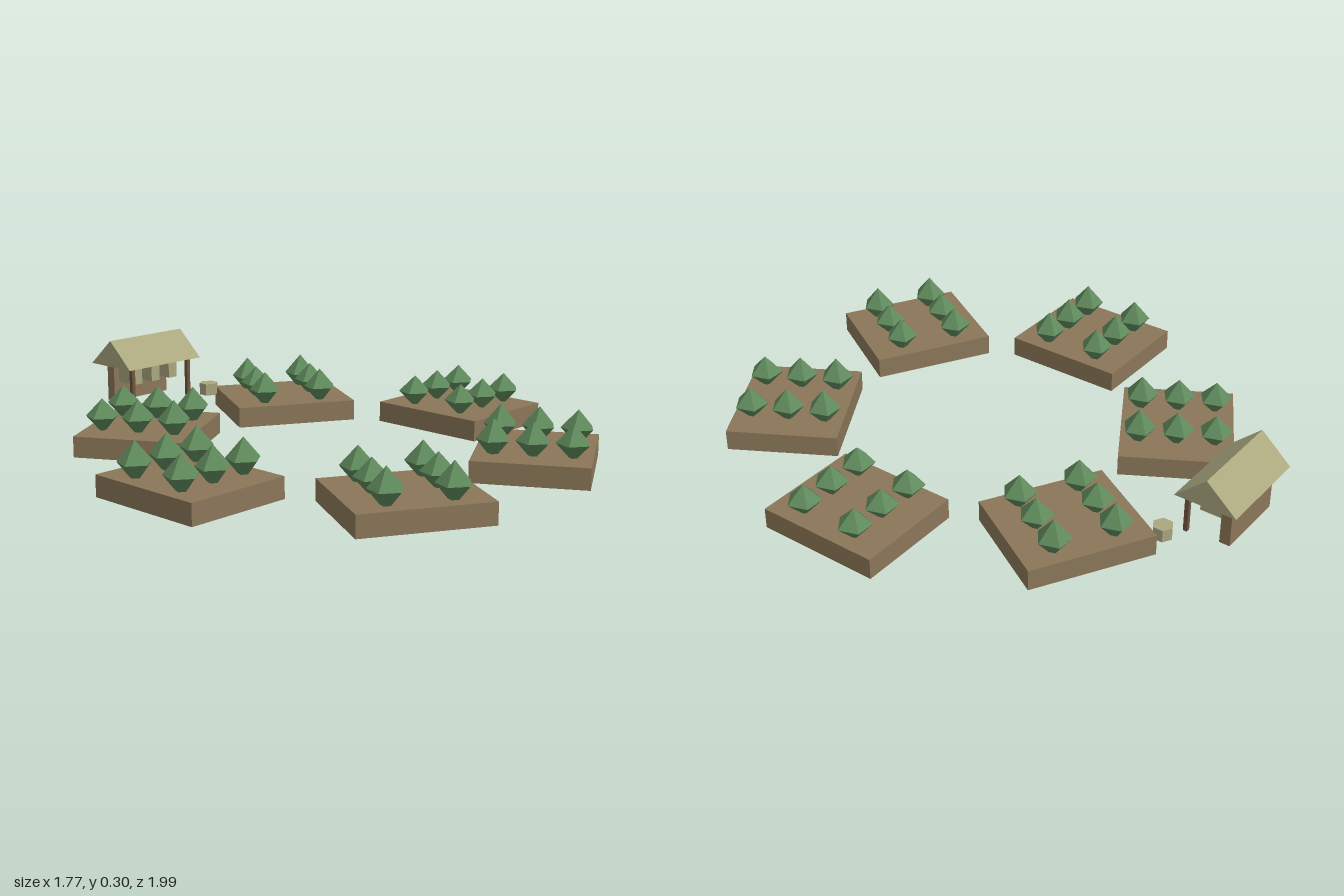
import * as THREE from 'three';

const mat = (name, color) => {
  const m = new THREE.MeshStandardMaterial({ color, flatShading: true });
  m.name = name;
  return m;
};

export function createModel() {
  const model = new THREE.Group();
  const soil = mat('soil brown', 0x8b7759);
  const wood = mat('dark wood', 0x6e5640);
  const leaf = mat('leaf green', 0x5f8a5c);
  const straw = mat('straw olive', 0xaaa77f);

  const add = (parent, name, geometry, material, x, y, z) => {
    const mesh = new THREE.Mesh(geometry, material);
    mesh.name = name;
    mesh.position.set(x, y, z);
    parent.add(mesh);
    return mesh;
  };

  // Ring of six planting beds, each with two rows of three bushes
  const bedGeo = new THREE.BoxGeometry(0.396, 0.075, 0.45);
  const bushGeo = new THREE.SphereGeometry(1, 5, 2);
  for (let b = 0; b < 6; b++) {
    const angle = (b * Math.PI) / 3;
    const bed = new THREE.Group();
    bed.name = 'plantingBed';
    bed.position.set(Math.cos(angle) * 0.688, 0, 0.115 - Math.sin(angle) * 0.688);
    bed.rotation.y = angle;
    model.add(bed);
    add(bed, 'soilBlock', bedGeo, soil, 0, 0.0375, 0);
    for (let i = 0; i < 6; i++) {
      const x = ((i % 3) - 1) * 0.132;
      const z = i < 3 ? -0.108 : 0.108;
      // Bushes differ slightly in height from bed to bed
      const half = b === 0 ? 0.06 : b === 3 ? 0.072 : 0.064 + ((i * 2 + b) % 3) * 0.004;
      const bush = add(bed, 'bush', bushGeo, leaf, x, 0.124, z);
      bush.scale.set(0.06, half, 0.06);
      bush.rotation.y = Math.PI / 2 - angle;
    }
  }

  // Open-fronted stall at the back
  const stall = new THREE.Group();
  stall.name = 'stall';
  model.add(stall);

  // Solid gable roof with its ridge along x
  const gable = new THREE.Shape();
  gable.moveTo(-0.112, 0);
  gable.lineTo(0.112, 0);
  gable.lineTo(0, 0.1);
  gable.closePath();
  const roofGeo = new THREE.ExtrudeGeometry(gable, { depth: 0.356, bevelEnabled: false });
  roofGeo.translate(0, 0, -0.178);
  roofGeo.rotateY(Math.PI / 2);
  add(stall, 'roof', roofGeo, straw, 0, 0.2, -0.888);

  add(stall, 'backWall', new THREE.BoxGeometry(0.265, 0.15, 0.038), soil, 0, 0.127, -0.945);
  for (const side of [-1, 1]) {
    add(stall, 'frontPost', new THREE.BoxGeometry(0.015, 0.15, 0.015), wood, side * 0.14, 0.127, -0.808);
  }

  // Three display boxes projecting from the wall
  for (const x of [-0.088, 0, 0.088]) {
    add(stall, 'displayBox', new THREE.BoxGeometry(0.04, 0.06, 0.09), straw, x, 0.156, -0.881);
  }

  // Six-sided barrel beside the stall
  add(model, 'barrel', new THREE.CylinderGeometry(0.036, 0.036, 0.045, 6), straw, 0.21, 0.073, -0.762);

  return model;
}
